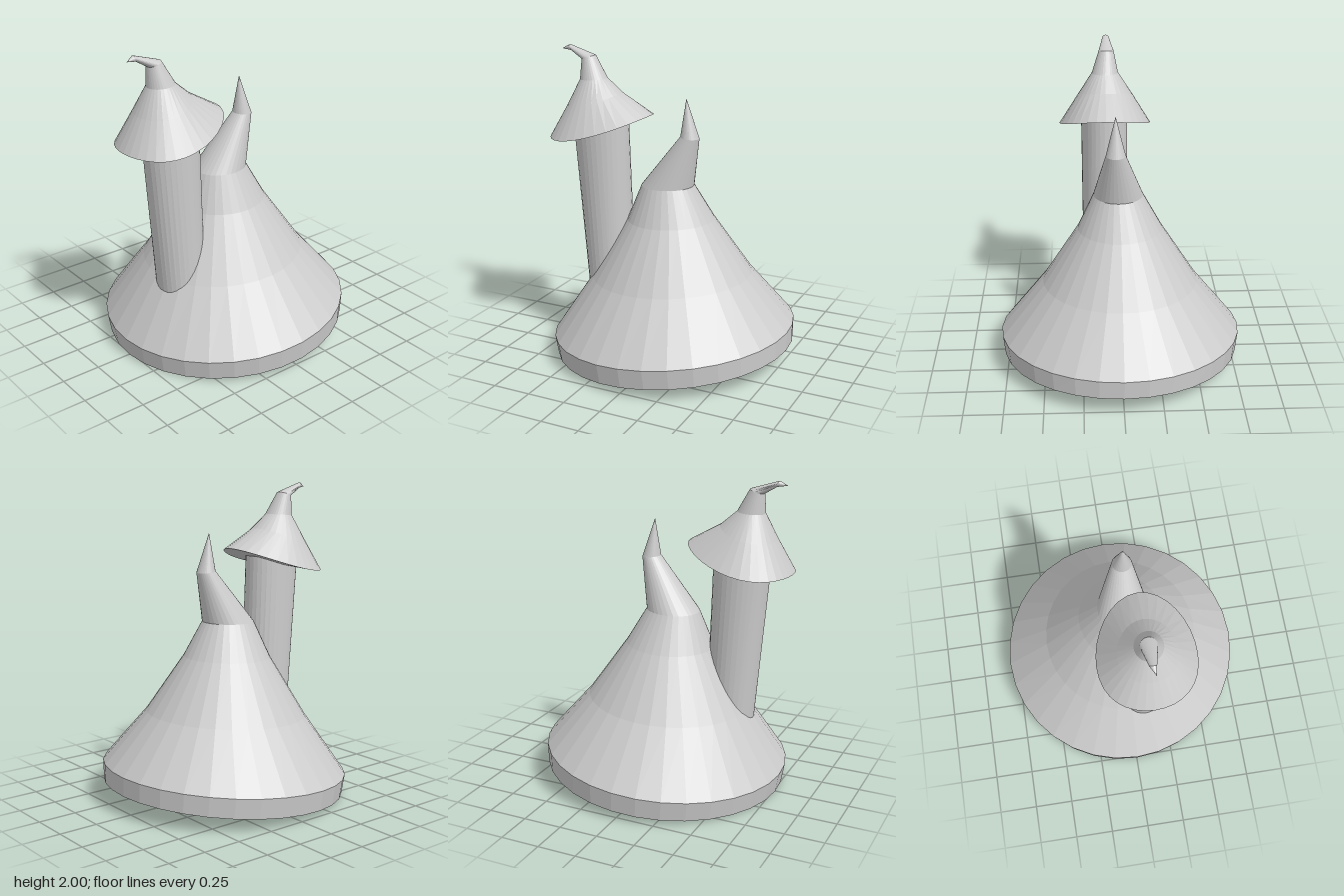
import * as THREE from 'three';

const SIDES = 32;
const material = new THREE.MeshStandardMaterial({ color: 0xcccccc, flatShading: true, side: THREE.DoubleSide });

// Skin a stack of tilted rings. Each ring is
// [frontZ, frontY, backZ, backY, centreX, radiusX, sag = 0, egg = 0]:
// sag lowers the ring's sides, egg pushes them towards the front.
function loft(name, rings) {
  const points = rings.map(([fz, fy, bz, by, cx, rx, sag = 0, egg = 0]) =>
    Array.from({ length: SIDES }, (_, i) => {
      const t = (i / SIDES) * Math.PI * 2;
      const c = Math.cos(t), s = Math.sin(t);
      return [
        cx + rx * s,
        (fy + by) / 2 + ((fy - by) / 2) * c - sag * s * s,
        (fz + bz) / 2 + ((fz - bz) / 2) * c + egg * s * s,
      ];
    }));
  const isPoint = (r) => rings[r][5] === 0;
  const positions = [];
  for (let r = 0; r < rings.length - 1; r++) {
    for (let i = 0; i < SIDES; i++) {
      const j = (i + 1) % SIDES;
      const a = points[r][i], b = points[r][j], c = points[r + 1][j], d = points[r + 1][i];
      if (!isPoint(r)) positions.push(...a, ...b, ...c);
      if (!isPoint(r + 1)) positions.push(...a, ...c, ...d);
    }
  }
  const geometry = new THREE.BufferGeometry();
  geometry.setAttribute('position', new THREE.Float32BufferAttribute(positions, 3));
  geometry.computeVertexNormals();
  const mesh = new THREE.Mesh(geometry, material);
  mesh.name = name;
  return mesh;
}

// A ring shrunk to a single point closes an end.
const tip = (x, y, z) => [z, y, z, y, x, 0];

export function createModel() {
  const group = new THREE.Group();
  group.name = 'crookedRoof';

  // Large leaning roof: tilted rim band, concave cone and bent spire
  group.add(loft('mainRoof', [
    tip(0, 0.055, -0.01),
    [0.765, 0, -0.8, 0.13, 0, 0.78, 0.01],
    [0.785, 0.12, -0.8, 0.25, 0, 0.795],
    [0.53, 0.51, -0.52, 0.57, 0, 0.51],
    [0.3, 0.9, -0.27, 0.92, 0, 0.275],
    [0.205, 1.13, -0.14, 1.14, 0.01, 0.16],
    [-0.07, 1.47, -0.19, 1.46, 0.03, 0.062],
    tip(0.03, 1.71, -0.105),
  ]));

  // Leaning round turret rising out of the front slope
  group.add(loft('turret', [
    tip(0.085, 0.35, 0.4),
    [0.555, 0.35, 0.25, 0.35, 0.085, 0.155],
    [0.655, 1.5, 0.285, 1.53, 0.088, 0.153],
    tip(0.088, 1.52, 0.47),
  ]));

  // Turret roof: upswept rear brim, hooked tip
  group.add(loft('turretRoof', [
    tip(0.083, 1.47, 0.48),
    [0.8, 1.43, 0.12, 1.59, 0.083, 0.303, 0.053, 0.04],
    [0.69, 1.63, 0.33, 1.71, 0.08, 0.18, 0.02, 0.01],
    [0.612, 1.79, 0.435, 1.8, 0.08, 0.086],
    [0.607, 1.915, 0.517, 1.942, 0.07, 0.05],
    [0.685, 1.962, 0.7, 2, 0.07, 0.022],
    tip(0.08, 1.972, 0.75),
  ]));

  return group;
}
